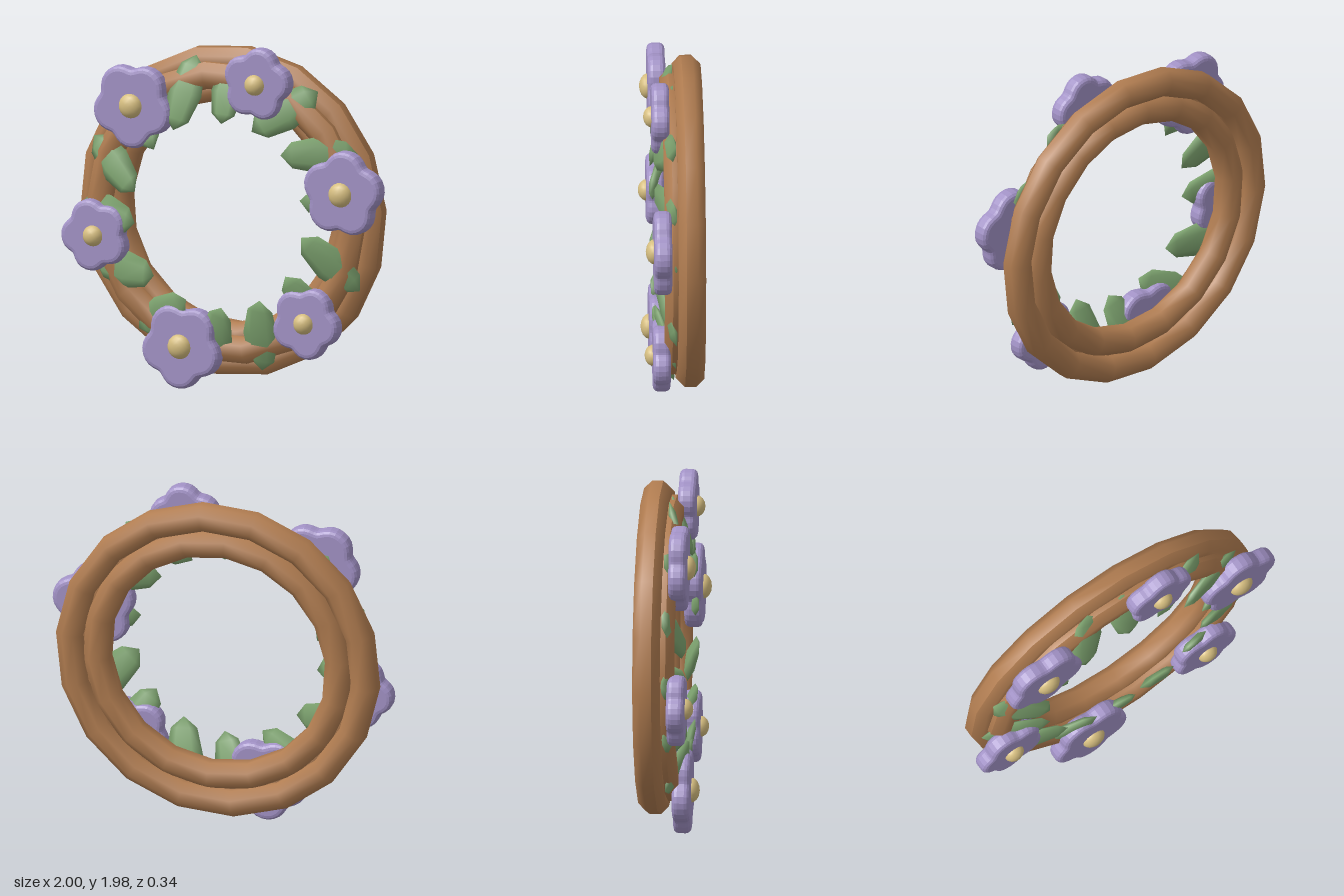
import * as THREE from 'three';

const mat = (color) => new THREE.MeshStandardMaterial({ color });
const wood = mat(0xb07c50), petal = mat(0xa292c6), leafGreen = mat(0x7ea470), pollen = mat(0xd6be80);

function add(parent, name, geometry, material) {
  const mesh = new THREE.Mesh(geometry, material);
  mesh.name = name;
  parent.add(mesh);
  return mesh;
}

// Ring strand with an octagonal section whose flats face outwards
function strandGeometry(R, r) {
  const profile = [];
  for (let i = 0; i <= 8; i++) {
    const a = (i + 0.5) * Math.PI / 4;
    profile.push(new THREE.Vector2(R + r * Math.cos(a), r * Math.sin(a)));
  }
  const g = new THREE.LatheGeometry(profile, 18);
  g.rotateX(Math.PI / 2);
  return g;
}

// Five-lobed blossom with rounded rim
function flowerGeometry(radius) {
  const bevel = 0.03, base = (radius - bevel) / 1.1;
  const pts = [];
  for (let i = 0; i < 50; i++) {
    const a = i / 50 * Math.PI * 2;
    const r = base * (0.99 + 0.1 * Math.cos(5 * a) - 0.015 * Math.cos(10 * a));
    pts.push(new THREE.Vector2(r * Math.cos(a), r * Math.sin(a)));
  }
  const g = new THREE.ExtrudeGeometry(new THREE.Shape(pts), {
    depth: 0.04, bevelEnabled: true, bevelThickness: 0.03, bevelSize: bevel, bevelSegments: 3,
  });
  g.translate(0, 0, -0.02);
  return g;
}

export function createModel() {
  const model = new THREE.Group();
  model.name = 'flowerWreath';

  // Three woven strands: outer, inner, front
  const ring = new THREE.Group();
  ring.name = 'ring';
  ring.position.set(-0.02, 1.005, 0);
  model.add(ring);
  const strands = [
    ['outerStrand', 0.867, 0.083, -0.095, 14],
    ['innerStrand', 0.712, 0.083, -0.085, 4],
    ['frontStrand', 0.785, 0.083, -0.02, 9],
  ];
  for (const [name, R, r, z, turn] of strands) {
    const s = add(ring, name, strandGeometry(R, r), wood);
    s.position.z = z;
    s.rotation.z = THREE.MathUtils.degToRad(turn);
  }

  // Flowers: x, y, radius, angle of one petal
  const flowers = [
    [-0.56, 1.59, 0.25, 54], [0.215, 1.77, 0.212, 80], [0.75, 1.185, 0.25, 85],
    [0.52, 0.43, 0.212, 62], [-0.255, 0.24, 0.25, 50], [-0.795, 0.83, 0.212, 40],
  ];
  for (const [x, y, r, turn] of flowers) {
    const flower = new THREE.Group();
    flower.name = 'flower';
    flower.position.set(x, y, 0.07);
    flower.rotation.z = THREE.MathUtils.degToRad(turn);
    model.add(flower);
    add(flower, 'petals', flowerGeometry(r), petal);
    const core = add(flower, 'flowerCentre', new THREE.SphereGeometry(1, 16, 10), pollen);
    core.scale.set(r * 0.285, r * 0.285, 0.05);
    core.position.z = 0.045;
  }

  // Leaves: outer end x, y, inner end x, y, width; the inner end lifts forward
  const leaves = [
    [-0.21, 1.89, -0.3, 1.47, 0.21], [0.02, 1.87, 0.0, 1.53, 0.2],
    [0.55, 1.74, 0.19, 1.5, 0.22], [0.8, 1.4, 0.37, 1.38, 0.21],
    [0.84, 1.1, 0.49, 1.13, 0.17], [0.81, 0.62, 0.5, 0.92, 0.22],
    [0.6, 0.38, 0.4, 0.69, 0.2], [0.2, 0.12, 0.24, 0.54, 0.22],
    [-0.11, 0.14, -0.0, 0.48, 0.2], [-0.57, 0.3, -0.22, 0.51, 0.21],
    [-0.84, 0.66, -0.42, 0.63, 0.22], [-0.93, 0.99, -0.54, 0.92, 0.21],
    [-0.85, 1.38, -0.54, 1.1, 0.22], [-0.64, 1.68, -0.42, 1.35, 0.19],
  ];
  const leafGeometry = new THREE.SphereGeometry(1, 6, 4);
  const up = new THREE.Vector3(0, 0, 1);
  for (const [x0, y0, x1, y1, width] of leaves) {
    const a = new THREE.Vector3(x0, y0, -0.01), b = new THREE.Vector3(x1, y1, 0.105);
    const along = b.clone().sub(a);
    const length = along.length();
    along.normalize();
    const across = along.clone().cross(up).normalize();
    const normal = across.clone().cross(along);
    const leaf = add(model, 'leaf', leafGeometry, leafGreen);
    leaf.quaternion.setFromRotationMatrix(new THREE.Matrix4().makeBasis(across, along, normal));
    leaf.position.copy(a).add(b).multiplyScalar(0.5);
    leaf.scale.set(width / 2, length / 2, 0.032);
  }
  return model;
}
